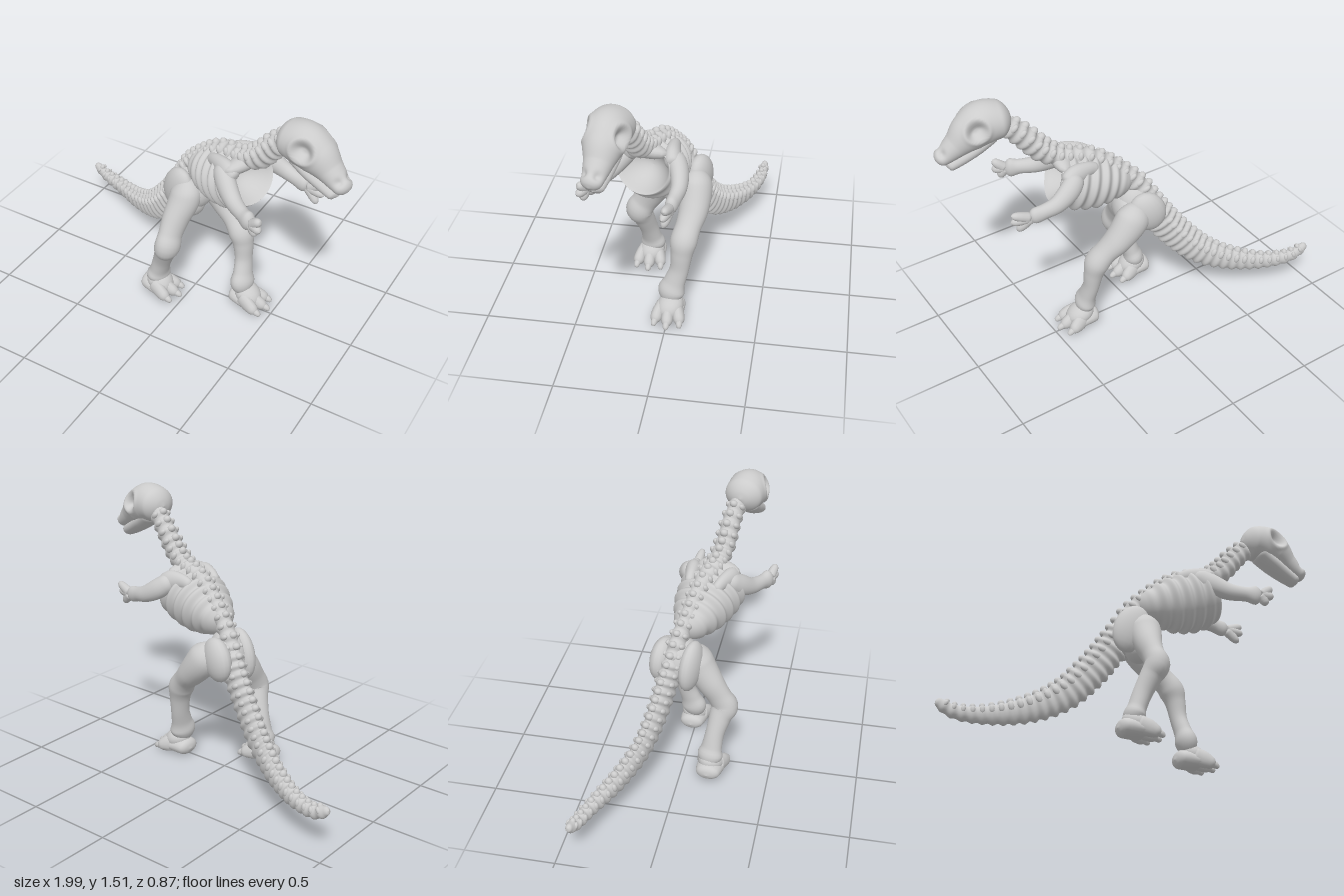
import * as THREE from 'three';

const V = (x, y, z) => new THREE.Vector3(x, y, z);
const SIDE = V(-0.3, 0, 0.954); // sideways axis of the slightly turned body
const material = new THREE.MeshStandardMaterial({ color: 0xcccccc });

// Centre line and radius curve through stations [x, y, z, half width, half height]
function curves(stations) {
  const path = new THREE.CatmullRomCurve3(stations.map(s => V(s[0], s[1], s[2])));
  const radii = new THREE.CatmullRomCurve3(stations.map(s => V(s[3], s[4], 0)));
  return u => {
    const t = path.getUtoTmapping(u), T = path.getTangent(t);
    const S = SIDE.clone().addScaledVector(T, -SIDE.dot(T)).normalize();
    return { c: path.getPoint(t), r: radii.getPoint(t), T, S, up: S.clone().cross(T) };
  };
}

// Loft of oval rings; cap = rounded fraction at [start, end], bump = radius rule,
// dish = depth of a hollow at the end
function loft(name, stations, { sides = 20, rings = 28, cap = [0.12, 0.12], bump = () => 1, dish = 0 } = {}) {
  const at = curves(stations);
  const dome = (u, c) => (c && u < c ? Math.sqrt(Math.max(0, 1 - (1 - u / c) ** 2)) : 1);
  const pos = [], index = [];
  const extra = dish ? 10 : 0;
  for (let i = 0; i <= rings + extra; i++) {
    const u = Math.min(1, i / rings);
    const shrink = i > rings ? 1 - (i - rings) / extra : 1;
    const { c, r, T, S, up } = at(u);
    c.addScaledVector(T, -dish * (1 - shrink * shrink));
    const k = dome(u, cap[0]) * dome(1 - u, cap[1]) * shrink;
    for (let j = 0; j < sides; j++) {
      const a = j / sides * Math.PI * 2;
      const off = S.clone().multiplyScalar(r.x * k * Math.cos(a)).addScaledVector(up, -r.y * k * Math.sin(a));
      const p = c.clone().addScaledVector(off, bump(u, a, c.clone().add(off)));
      pos.push(p.x, p.y, p.z);
      if (i) {
        const q = (i - 1) * sides, j2 = (j + 1) % sides;
        index.push(q + j, q + j2, q + sides + j, q + j2, q + sides + j2, q + sides + j);
      }
    }
  }
  const g = new THREE.BufferGeometry();
  g.setAttribute('position', new THREE.Float32BufferAttribute(pos, 3));
  g.setIndex(index);
  g.computeVertexNormals();
  const mesh = new THREE.Mesh(g, material);
  mesh.name = name;
  return mesh;
}

// Ellipsoid, tilted in the side plane and turned about the vertical
function blob(name, [x, y, z], [rx, ry, rz], tilt = 0) {
  const mesh = new THREE.Mesh(new THREE.SphereGeometry(1, 18, 12), material);
  mesh.name = name;
  mesh.position.set(x, y, z);
  mesh.scale.set(rx, ry, rz);
  mesh.rotation.set(0, -0.3, tilt, 'YXZ');
  return mesh;
}

// Row of vertebrae: pinched tube with low knobs on top and at both sides of each bone
function vertebrae(name, stations, count, knob) {
  const group = new THREE.Group();
  group.name = name;
  group.add(loft(name + 'Bones', stations, {
    sides: 18, rings: count * 8, cap: [0.03, 0.02],
    bump: u => 0.94 + 0.09 * Math.cos(2 * Math.PI * count * u),
  }));
  const at = curves(stations);
  for (let i = 1; i < count; i++) {
    const { c, r, T, S, up } = at(i / count);
    const size = knob * (0.4 + 0.6 * Math.min(1, r.y / 0.07)), tilt = Math.atan2(T.y, T.x);
    const top = c.clone().addScaledVector(up, r.y * 0.86);
    group.add(blob('neuralSpine', top.toArray(), [size * 0.8, size, size * 0.9], tilt));
    for (const s of [-1, 1]) {
      const p = c.clone().addScaledVector(S, s * r.x * 0.78).addScaledVector(up, r.y * 0.35);
      group.add(blob('sideProcess', p.toArray(), [size * 0.65, size * 1.1, size * 0.65], tilt));
    }
  }
  return group;
}

// Foot with flat heel, three toes and claws; (x, y, z) is the sole below the ankle
function foot(name, x, y, z) {
  const g = new THREE.Group();
  g.name = name;
  g.add(loft('heel', [
    [x - 0.085, y + 0.045, z - 0.005, 0.06, 0.04], [x - 0.03, y + 0.05, z, 0.074, 0.05],
    [x + 0.07, y + 0.04, z + 0.01, 0.084, 0.038]], { cap: [0.2, 0.15] }));
  g.add(blob('instep', [x + 0.025, y + 0.078, z + 0.005], [0.085, 0.06, 0.074], -0.45));
  for (const s of [-1, 0, 1]) {
    const len = s ? 0.125 : 0.15, zz = z + 0.01;
    g.add(loft('toe', [
      [x, y + 0.07, zz + s * 0.035, 0.034, 0.05],
      [x + len * 0.45, y + 0.052, zz + s * 0.054, 0.034, 0.048],
      [x + len * 0.75, y + 0.038, zz + s * 0.064, 0.032, 0.037],
      [x + len, y + 0.027, zz + s * 0.069, 0.026, 0.026]], { sides: 14, rings: 18, cap: [0.1, 0.25] }));
    g.add(loft('claw', [
      [x + len * 0.8, y + 0.036, zz + s * 0.066, 0.02, 0.02],
      [x + len, y + 0.027, zz + s * 0.07, 0.018, 0.019],
      [x + len + 0.02, y + 0.014, zz + s * 0.072, 0.01, 0.01]], { sides: 10, rings: 10 }));
  }
  return g;
}

// Arm with three spread fingers
function arm(name, stations, tips) {
  const g = new THREE.Group();
  g.name = name;
  g.add(loft('armBone', stations, { rings: 36, cap: [0.15, 0.1] }));
  const [x, y, z] = stations[stations.length - 1];
  for (const [tx, ty, tz] of tips) {
    const mid = [x * 0.5 + tx * 0.5, y * 0.45 + ty * 0.55, z * 0.5 + tz * 0.5];
    g.add(loft('finger', [[x - 0.01, y, z, 0.028, 0.03], [...mid, 0.025, 0.026], [tx, ty, tz, 0.016, 0.017]],
      { sides: 12, rings: 14, cap: [0.15, 0.25] }));
  }
  return g;
}

export function createModel() {
  const model = new THREE.Group();
  model.name = 'dinosaurSkeleton';

  // Tail and spine
  model.add(vertebrae('tail', [
    [-0.99, 0.255, -0.418, 0.024, 0.03], [-0.9, 0.21, -0.403, 0.033, 0.04], [-0.75, 0.203, -0.357, 0.038, 0.052],
    [-0.55, 0.24, -0.26, 0.044, 0.075], [-0.38, 0.328, -0.172, 0.048, 0.09], [-0.25, 0.467, -0.115, 0.053, 0.094],
    [-0.14, 0.627, -0.075, 0.058, 0.092], [-0.07, 0.755, -0.045, 0.06, 0.082]], 24, 0.025));
  model.add(vertebrae('spine', [
    [-0.1, 0.72, -0.055, 0.055, 0.068], [-0.05, 0.832, -0.035, 0.052, 0.058], [0.055, 0.958, 0.005, 0.05, 0.052],
    [0.21, 1.077, 0.055, 0.054, 0.052], [0.37, 1.117, 0.105, 0.06, 0.057], [0.46, 1.172, 0.13, 0.06, 0.066],
    [0.55, 1.277, 0.15, 0.057, 0.064], [0.65, 1.38, 0.18, 0.05, 0.056]], 19, 0.028));

  // Ribcage with raised ribs, flatter along the back, and a hollow chest
  model.add(loft('ribcage', [
    [-0.01, 0.87, -0.015, 0.06, 0.07], [0.08, 0.9, 0.02, 0.118, 0.125], [0.18, 0.93, 0.05, 0.16, 0.168],
    [0.28, 0.96, 0.08, 0.18, 0.178], [0.36, 0.985, 0.105, 0.18, 0.165], [0.4, 1.0, 0.12, 0.16, 0.145]], {
    sides: 48, rings: 84, cap: [0.1, 0], dish: 0.12,
    bump: (u, a) => (0.965 + 0.06 * Math.cos(2 * Math.PI * 7 * u) * Math.min(1, 4 * u) * Math.min(1, 8 - 8 * u))
      * (1 - 0.12 * Math.max(0, -Math.sin(a)) ** 2),
  }));
  model.add(loft('nearShoulderBlade', [
    [0.16, 1.05, 0.125, 0.025, 0.03], [0.23, 1.07, 0.16, 0.035, 0.045], [0.31, 1.06, 0.195, 0.045, 0.06],
    [0.36, 1.03, 0.21, 0.04, 0.045]]));
  model.add(loft('farShoulderBlade', [
    [0.21, 1.05, -0.025, 0.025, 0.03], [0.28, 1.065, -0.025, 0.035, 0.045], [0.36, 1.055, -0.03, 0.045, 0.06],
    [0.42, 1.03, -0.045, 0.04, 0.045]]));
  model.add(blob('collarBone', [0.355, 1.085, 0.115], [0.06, 0.045, 0.13], 0.4));

  // Pelvis
  model.add(blob('pelvis', [-0.04, 0.715, -0.025], [0.115, 0.14, 0.1], -0.3));
  model.add(blob('ilium', [-0.085, 0.71, 0.045], [0.1, 0.145, 0.058], -0.35));
  model.add(blob('ilium', [-0.045, 0.712, -0.12], [0.105, 0.125, 0.065], -0.35));
  model.add(blob('pubis', [-0.02, 0.635, 0.015], [0.085, 0.1, 0.085]));
  model.add(blob('belly', [0.02, 0.7, 0.0], [0.075, 0.1, 0.11]));

  // Trailing leg
  model.add(loft('trailingLeg', [
    [-0.03, 0.81, 0.045, 0.06, 0.07], [-0.02, 0.7, 0.075, 0.085, 0.09], [-0.04, 0.58, 0.148, 0.08, 0.072],
    [-0.045, 0.5, 0.2, 0.074, 0.06], [-0.045, 0.44, 0.23, 0.08, 0.068], [-0.07, 0.38, 0.212, 0.064, 0.06],
    [-0.11, 0.28, 0.188, 0.054, 0.052], [-0.135, 0.2, 0.176, 0.06, 0.05], [-0.147, 0.155, 0.17, 0.076, 0.06],
    [-0.15, 0.08, 0.17, 0.064, 0.056]], { sides: 24, rings: 56 }));
  model.add(foot('trailingFoot', -0.16, 0.03, 0.17));

  // Leading leg
  model.add(loft('leadingLeg', [
    [0.0, 0.78, -0.1, 0.07, 0.08], [0.055, 0.69, -0.115, 0.085, 0.095], [0.14, 0.59, -0.108, 0.082, 0.078],
    [0.21, 0.52, -0.088, 0.072, 0.064], [0.255, 0.46, -0.072, 0.076, 0.07], [0.275, 0.39, -0.064, 0.062, 0.056],
    [0.287, 0.29, -0.052, 0.055, 0.046], [0.298, 0.21, -0.027, 0.062, 0.048], [0.305, 0.15, -0.01, 0.078, 0.06],
    [0.312, 0.07, -0.005, 0.065, 0.056]], { sides: 24, rings: 56 }));
  model.add(foot('leadingFoot', 0.318, 0, -0.015));

  // Arms
  model.add(arm('nearArm', [
    [0.25, 1.08, 0.165, 0.05, 0.05], [0.32, 1.015, 0.235, 0.052, 0.06], [0.4, 0.965, 0.295, 0.045, 0.048],
    [0.48, 0.95, 0.345, 0.037, 0.042], [0.525, 0.945, 0.37, 0.038, 0.056], [0.56, 0.945, 0.385, 0.034, 0.045]],
  [[0.61, 1.0, 0.412], [0.615, 0.94, 0.42], [0.575, 0.885, 0.4]]));
  model.add(arm('farArm', [
    [0.34, 1.07, -0.03, 0.05, 0.05], [0.41, 1.015, -0.07, 0.05, 0.058], [0.5, 0.965, -0.085, 0.042, 0.048],
    [0.57, 0.945, -0.075, 0.036, 0.042], [0.61, 0.935, -0.067, 0.034, 0.046], [0.655, 0.928, -0.06, 0.03, 0.042]],
  [[0.75, 0.972, -0.045], [0.75, 0.92, -0.035], [0.715, 0.855, -0.035]]));

  // Skull with eye sockets and nostrils pressed in
  const sockets = [V(0.765, 1.415, 0.32), V(0.815, 1.41, 0.115)];
  const nostrils = [V(0.95, 1.285, 0.28), V(0.968, 1.285, 0.222)];
  const press = (u, a, p) => {
    let k = 1;
    for (const s of sockets) {
      const d = p.distanceTo(s);
      k += 0.05 * Math.exp(-(((d - 0.066) / 0.014) ** 2)) - 0.45 * Math.exp(-((d / 0.048) ** 4));
    }
    for (const s of nostrils) k -= 0.4 * Math.exp(-((p.distanceTo(s) / 0.02) ** 2));
    return k;
  };
  model.add(loft('skull', [
    [0.595, 1.40, 0.187, 0.085, 0.075], [0.66, 1.4, 0.199, 0.108, 0.1], [0.74, 1.395, 0.215, 0.112, 0.115],
    [0.82, 1.355, 0.224, 0.1, 0.1], [0.885, 1.305, 0.234, 0.073, 0.068], [0.945, 1.262, 0.247, 0.058, 0.05],
    [0.995, 1.235, 0.26, 0.05, 0.04]], { sides: 56, rings: 80, cap: [0.14, 0.08], bump: press }));
  model.add(loft('lowerJaw', [
    [0.68, 1.345, 0.202, 0.08, 0.047], [0.78, 1.277, 0.22, 0.074, 0.045], [0.87, 1.225, 0.236, 0.06, 0.04],
    [0.945, 1.186, 0.252, 0.047, 0.033]], { sides: 24, cap: [0.12, 0.08] }));
  return model;
}
